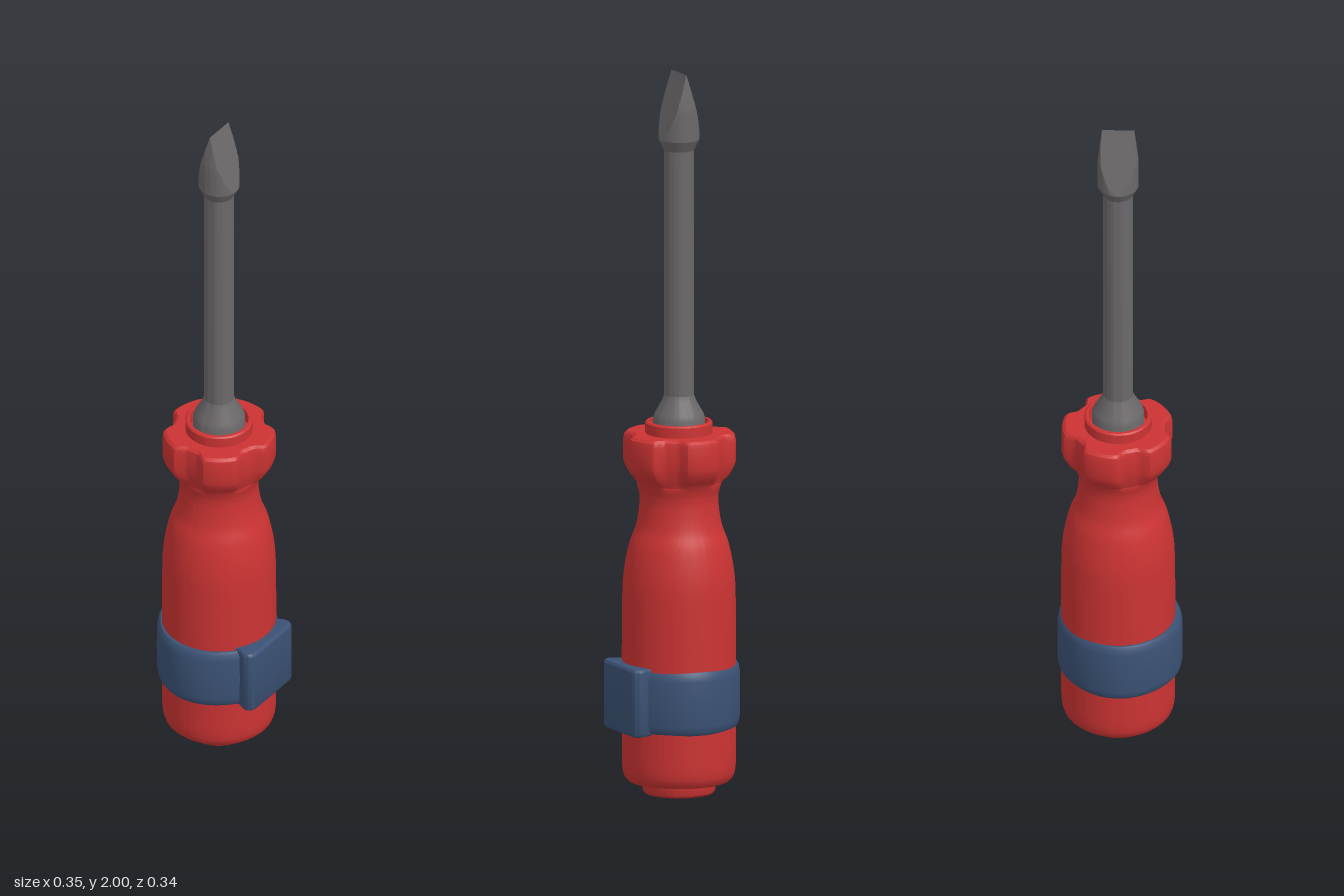
import * as THREE from 'three';
import { toCreasedNormals } from 'three/addons/utils/BufferGeometryUtils.js';

const CX = -0.009, CZ = -0.005; // tool axis

const red = new THREE.MeshStandardMaterial({ color: 0xcc3333 });
red.name = 'red grip';
const blue = new THREE.MeshStandardMaterial({ color: 0x3b5275 });
blue.name = 'blue strap';
const steel = new THREE.MeshStandardMaterial({ color: 0x6b686a });
steel.name = 'grey steel';

const v2 = (pts) => pts.map(([r, y]) => new THREE.Vector2(r, y));

// Turned part; an optional rule moves each vertex
function turned(name, points, material, rule, segments = 60, crease = 0.55) {
  const geo = new THREE.LatheGeometry(points, segments);
  const pos = geo.attributes.position, p = new THREE.Vector3();
  if (rule) {
    for (let i = 0; i < pos.count; i++) {
      rule(p.fromBufferAttribute(pos, i));
      pos.setXYZ(i, p.x, p.y, p.z);
    }
  }
  const mesh = new THREE.Mesh(toCreasedNormals(geo, crease), material);
  mesh.name = name;
  mesh.position.set(CX, 0, CZ);
  return mesh;
}

export function createModel() {
  const model = new THREE.Group();
  model.name = 'screwdriver';

  // Handle body up to the neck, as a smooth curve
  const body = new THREE.SplineCurve(v2([
    [0.155, 0.08], [0.156, 0.3], [0.155, 0.52], [0.151, 0.61], [0.136, 0.69],
    [0.118, 0.74], [0.109, 0.79], [0.108, 0.83], [0.118, 0.865],
  ])).getPoints(40);
  const handle = [
    ...v2([[0, 0.005], [0.098, 0.005], [0.1, 0.01], [0.1, 0.035], [0.138, 0.035], [0.148, 0.045], [0.153, 0.06]]),
    ...body,
    ...v2([[0.135, 0.88], [0.15, 0.905], [0.155, 0.92], [0.155, 0.95], [0.155, 0.98],
      [0.152, 0.993], [0.144, 1.0], [0.092, 1.0], [0.092, 1.028], [0.088, 1.032], [0.08, 1.032], [0.078, 1.0], [0, 1.0]]),
  ];
  // Five scallops cut into the flange
  model.add(turned('handle', handle, red, (p) => {
    const r = Math.hypot(p.x, p.z);
    if (r < 0.1 || p.y < 0.84) return;
    const wave = THREE.MathUtils.smoothstep(Math.cos(5 * Math.atan2(p.x, p.z)), -0.15, 0.9);
    const k = 1 - 0.024 * wave * THREE.MathUtils.smoothstep(p.y, 0.85, 0.91) / r;
    p.x *= k;
    p.z *= k;
  }, 120));
  const cap = turned('endCap', v2([[0, 0], [0.094, 0], [0.1, 0.006]]), red);
  model.add(cap);

  // Steel collar and shaft
  model.add(turned('collar', v2([
    [0.071, 0.99], [0.071, 1.04], [0.066, 1.055], [0.046, 1.09], [0.041, 1.105],
  ]), steel));
  model.add(turned('shaft', v2([[0.041, 1.1], [0.041, 1.79]]), steel));

  // Blade tip: a turned bulb squeezed to a straight edge along z
  const tip = v2([[0.041, 1.785], [0.056, 1.815]]);
  for (let i = 1; i <= 16; i++) {
    const y = 1.815 + 0.185 * i / 16;
    tip.push(new THREE.Vector2(y < 1.9 ? 0.056 : 0.056 - 0.12 * (y - 1.9), y));
  }
  model.add(turned('bladeTip', tip, steel, (p) => {
    const half = Math.max(0.0005, 0.056 * (2 - p.y) / 0.185);
    p.x = THREE.MathUtils.clamp(p.x, -half, half);
  }, 64, 0.4));

  // Strap around the grip, slightly uneven
  const band = turned('strap', v2([
    [0.148, 0.185], [0.159, 0.185], [0.165, 0.193], [0.168, 0.21], [0.169, 0.275],
    [0.168, 0.335], [0.165, 0.353], [0.159, 0.361], [0.148, 0.361],
  ]), blue, (p) => {
    const a = Math.atan2(p.x, p.z);
    const k = 1 + 0.012 * Math.cos(4 * a + 0.3);
    p.x *= k;
    p.z *= k;
  }, 80);
  band.position.z = 0;
  model.add(band);

  // Clasp pad on the left side, drawn in plan and extruded upward
  const pad = new THREE.Shape();
  pad.moveTo(0.1, -0.085);
  pad.lineTo(0.13, -0.087);
  pad.quadraticCurveTo(0.146, -0.1, 0.156, -0.097);
  pad.quadraticCurveTo(0.167, -0.092, 0.168, -0.078);
  pad.lineTo(0.168, 0.078);
  pad.quadraticCurveTo(0.167, 0.09, 0.156, 0.092);
  pad.quadraticCurveTo(0.146, 0.093, 0.13, 0.085);
  pad.lineTo(0.1, 0.085);
  pad.closePath();
  const padGeo = new THREE.ExtrudeGeometry(pad, {
    depth: 0.168, bevelEnabled: true, bevelThickness: 0.01, bevelSize: 0.007, bevelSegments: 4, curveSegments: 8,
  });
  padGeo.rotateX(-Math.PI / 2);
  const clasp = new THREE.Mesh(toCreasedNormals(padGeo, 0.7), blue);
  clasp.name = 'strapClasp';
  clasp.position.y = 0.191;
  model.add(clasp);

  return model;
}
